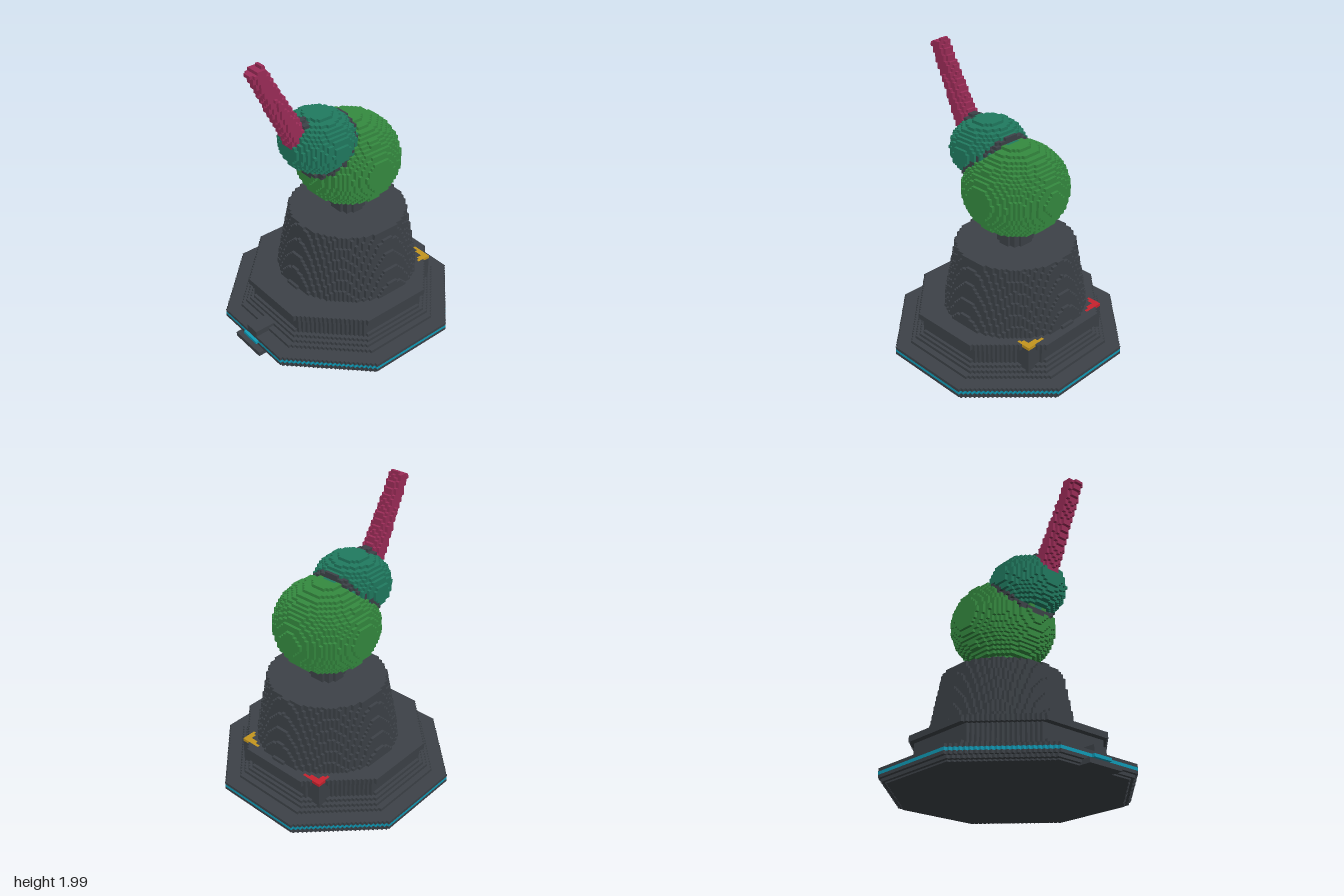
import * as THREE from 'three';

// Stepped (voxel) model: every part is a simple solid rule sampled on one grid.
const H = 0.02;                      // cell size
const NX = 40, NY = 102, NZ = 41;    // cell index limits

const mat = (name, color) => {
  const m = new THREE.MeshStandardMaterial({ color });
  m.name = name;
  return m;
};

// Distance rule of a regular octagon around the base axis
const oct = (x, z) => {
  const a = Math.abs(x), b = Math.abs(z + 0.02);
  return Math.max(a, b, (a + b) / Math.SQRT2);
};
const ellipsoid = (cy, cz, rx, ry, rz) => (x, y, z) =>
  (x / rx) ** 2 + ((y - cy) / ry) ** 2 + ((z - cz) / rz) ** 2 <= 1.0001;
const box = (x0, x1, y0, y1, z0, z1) => (x, y, z) =>
  x > x0 && x < x1 && y > y0 && y < y1 && z > z0 && z < z1;

// Tapered rod in the plane x = 0, from point a to point b given as [y, z]
const rod = (a, b, ra, rb) => {
  const dy = b[0] - a[0], dz = b[1] - a[1], len = Math.hypot(dy, dz);
  return (x, y, z) => {
    const py = y - a[0], pz = z - a[1];
    const t = (py * dy + pz * dz) / (len * len);
    if (t < 0 || t > 1) return false;
    const side = (py * dz - pz * dy) / len;
    return Math.hypot(x, side) <= ra + (rb - ra) * t;
  };
};

// Octagon size of the base at each height
const baseSize = (y) => {
  if (y < 0.01) return 0.705;
  if (y < 0.03) return 0.725;
  if (y < 0.09) return 0.747;
  if (y < 0.2) return 0.55 + 0.11 * ((0.2 - y) / 0.11) ** 2;
  if (y < 0.27) return 0.552;
  return y < 0.31 ? 0.585 : 0;
};

// L-shaped corner plate on one side of the back
const corner = (s) => (x, y, z) => {
  const u = x * s;
  if (y < 0.29 || y > 0.31 || u > 0.35 || z < -0.54) return false;
  return (u > 0.17 && z < -0.515) || (u > 0.31 && z < -0.44);
};

const frontTabs = [
  box(-0.13, 0.13, -0.01, 0.03, 0.6, 0.765),
  box(-0.05, 0.05, 0.07, 0.13, 0.5, 0.73),
];
const backBlock = box(-0.35, 0.35, 0.1, 0.3, -0.55, -0.2);

export function createModel() {
  const charcoal = mat('charcoal', 0x3d4248);
  const green = mat('green', 0x358b40);
  const teal = mat('teal', 0x207b60);
  const magenta = mat('magenta', 0x9c2c58);
  const cyan = mat('cyan', 0x109cb8);
  const red = mat('red', 0xc8222e);
  const yellow = mat('yellow', 0xc4961e);

  // Earlier parts win where solids overlap
  const parts = [
    ['beak', magenta, rod([1.42, 0.32], [1.965, 0.6], 0.075, 0.052)],
    ['beakSocket', charcoal, ellipsoid(1.49, 0.29, 0.072, 0.06, 0.06)],
    ['headCollar', charcoal, rod([1.295, 0.085], [1.321, 0.115], 0.226, 0.226)],
    ['head', teal, ellipsoid(1.36, 0.155, 0.25, 0.195, 0.24)],
    ['body', green, ellipsoid(1.15, -0.09, 0.34, 0.3, 0.34)],
    ['neck', charcoal, (x, y, z) => y > 0.7 && y < 0.9 && Math.hypot(x, z + 0.09) < 0.108],
    ['tower', charcoal, (x, y, z) => y > 0.29 && y < 0.77 &&
      Math.hypot(x, z + 0.09) < (y < 0.31 ? 0.495 : 0.475 - 0.185 * (y - 0.31))],
    ['redCorner', red, corner(-1)],
    ['yellowCorner', yellow, corner(1)],
    ['trimBand', cyan, (x, y, z) => y > 0.05 && y < 0.07 &&
      ((oct(x, z) < 0.747 && oct(x, z) > 0.715) ||
        (Math.abs(x) < 0.07 && z > 0.7 && z < 0.75))],
    ['base', charcoal, (x, y, z) => oct(x, z) < baseSize(y) || backBlock(x, y, z) ||
      frontTabs.some((f) => f(x, y, z))],
  ];

  // Fill the grid with part numbers (0 = empty)
  const sx = 2 * NX + 1, sz = 2 * NZ + 1;
  const cells = new Uint8Array(sx * (NY + 1) * sz);
  const at = (i, j, k) => (j < 0 || j > NY || Math.abs(i) > NX || Math.abs(k) > NZ)
    ? -1 : ((j * sz) + k + NZ) * sx + i + NX;
  const eachCell = (fn) => {
    for (let j = 0; j <= NY; j++)
      for (let k = -NZ; k <= NZ; k++)
        for (let i = -NX; i <= NX; i++) fn(i, j, k);
  };
  eachCell((i, j, k) => {
    cells[at(i, j, k)] = parts.findIndex((p) => p[2](i * H, j * H, k * H)) + 1;
  });

  // Collect the exposed cell faces of each part
  const out = parts.map(() => ({ pos: [], nor: [], idx: [] }));
  const ring = [[-1, -1], [1, -1], [1, 1], [-1, 1]];
  eachCell((i, j, k) => {
    const id = cells[at(i, j, k)];
    if (!id) return;
    const c = [i, j, k], o = out[id - 1];
    for (let a = 0; a < 3; a++) {
      for (const s of [-1, 1]) {
        const n = [0, 0, 0];
        n[a] = s;
        const next = at(i + n[0], j + n[1], k + n[2]);
        if (next >= 0 && cells[next]) continue;
        const first = o.pos.length / 3;
        for (const [u, v] of ring) {
          const p = [...c];
          p[a] += s / 2;
          p[(a + 1) % 3] += u / 2;
          p[(a + 2) % 3] += v / 2;
          o.pos.push(p[0] * H, Math.min(2, Math.max(0, p[1] * H)), p[2] * H);
          o.nor.push(...n);
        }
        const order = s > 0 ? [0, 1, 2, 0, 2, 3] : [0, 2, 1, 0, 3, 2];
        o.idx.push(...order.map((q) => first + q));
      }
    }
  });

  const group = new THREE.Group();
  parts.forEach(([name, material], n) => {
    const { pos, nor, idx } = out[n];
    if (!idx.length) return;
    const g = new THREE.BufferGeometry();
    g.setAttribute('position', new THREE.Float32BufferAttribute(pos, 3));
    g.setAttribute('normal', new THREE.Float32BufferAttribute(nor, 3));
    g.setIndex(idx);
    const mesh = new THREE.Mesh(g, material);
    mesh.name = name;
    group.add(mesh);
  });
  return group;
}
